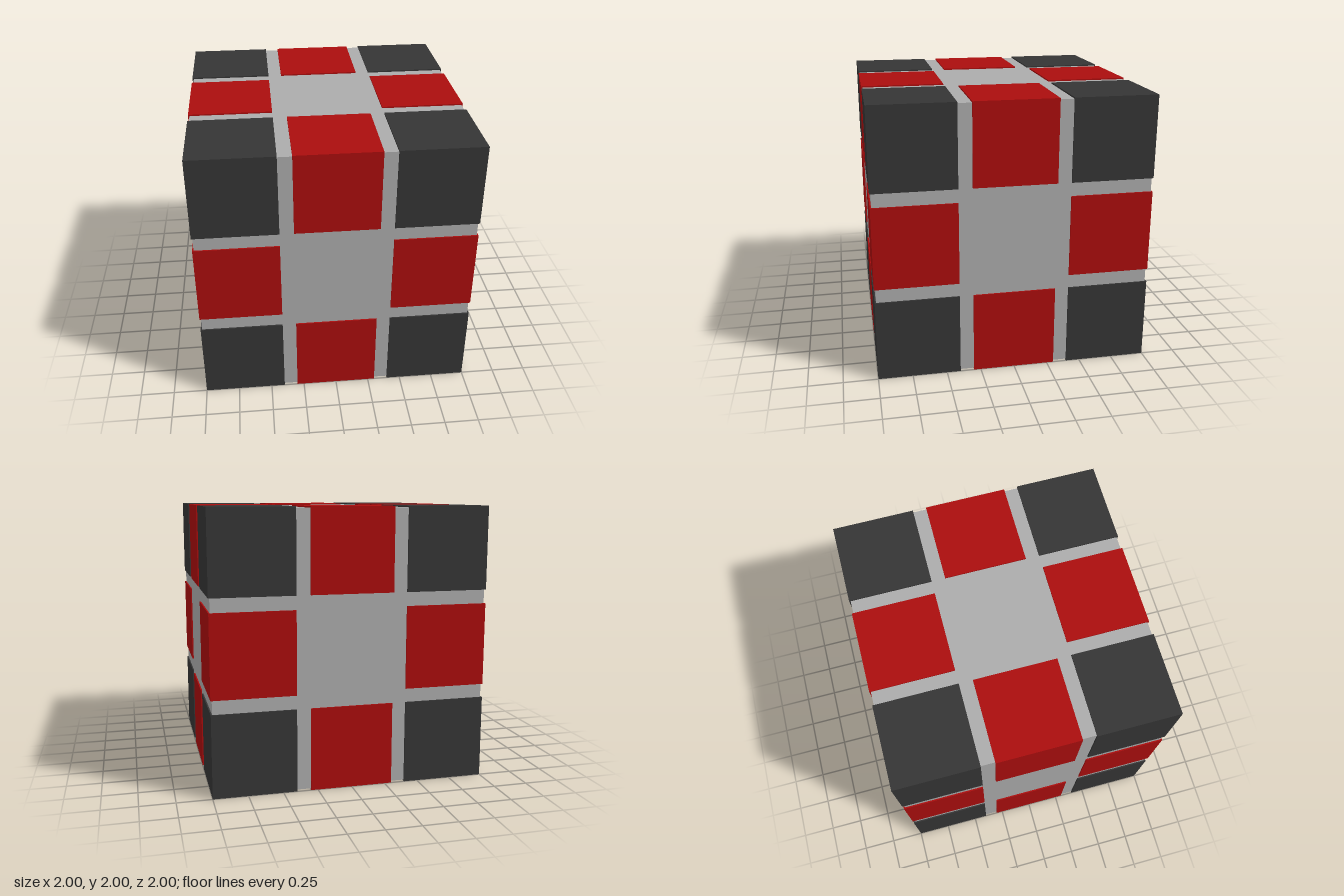
import * as THREE from 'three';

export function createModel() {
  const model = new THREE.Group();
  model.name = 'puzzleCube';

  const grey = new THREE.MeshStandardMaterial({ name: 'light grey', color: 0xababab });
  const red = new THREE.MeshStandardMaterial({ name: 'red', color: 0xaa0d0d });
  const dark = new THREE.MeshStandardMaterial({ name: 'charcoal', color: 0x353535 });

  const addBox = (name, geometry, material, x, y, z) => {
    const mesh = new THREE.Mesh(geometry, material);
    mesh.name = name;
    mesh.position.set(x, y + 1, z);
    model.add(mesh);
  };

  // Core, slightly recessed behind the blocks
  addBox('core', new THREE.BoxGeometry(1.98, 1.98, 1.98), grey, 0, 0, 0);

  // Dark blocks on the 8 corners, red blocks on the middle of the 12 edges
  const block = new THREE.BoxGeometry(0.6, 0.6, 0.6);
  const steps = [-1, 0, 1];
  for (const i of steps) for (const j of steps) for (const k of steps) {
    const sides = Math.abs(i) + Math.abs(j) + Math.abs(k);
    if (sides < 2) continue;
    const corner = sides === 3;
    addBox(corner ? 'cornerBlock' : 'edgeBlock', block, corner ? dark : red, i * 0.7, j * 0.7, k * 0.7);
  }
  return model;
}
